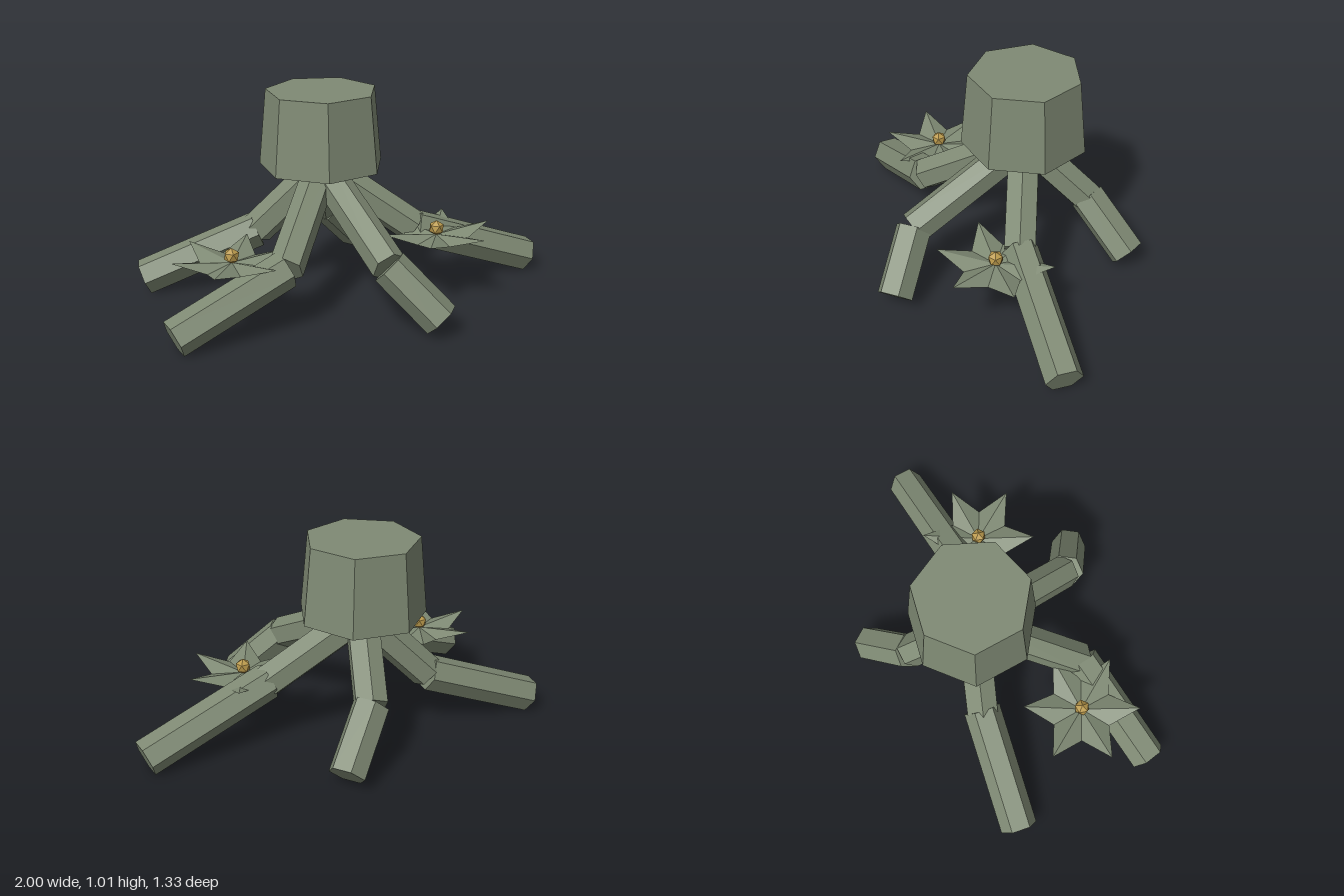
import * as THREE from 'three';

const V = (x, y, z) => new THREE.Vector3(x, y, z);

// Six-sided rod between two points; ridgeUp puts a corner (not a flat) on top
function rod(a, b, radius, ridgeUp, material, name) {
  const dir = b.clone().sub(a);
  const geo = new THREE.CylinderGeometry(radius, radius, dir.length(), 6);
  geo.rotateY(ridgeUp ? 0 : Math.PI / 2);
  const yAxis = dir.normalize();
  const xAxis = V(0, 1, 0).cross(yAxis).normalize();
  const zAxis = xAxis.clone().cross(yAxis);
  const mesh = new THREE.Mesh(geo, material);
  mesh.quaternion.setFromRotationMatrix(new THREE.Matrix4().makeBasis(xAxis, yAxis, zAxis));
  mesh.position.copy(a).add(b).multiplyScalar(0.5);
  mesh.name = name;
  return mesh;
}

// Six folded petals as a shallow star-shaped bowl
function petalGeometry() {
  const rim = (i) => {
    const a = (i * Math.PI) / 6;
    const [r, y] = i % 2 ? [0.155, -0.01] : [0.283, 0.035];
    return [r * Math.cos(a), y, r * Math.sin(a)];
  };
  const points = [];
  for (let i = 0; i < 12; i++) points.push(0, 0, 0, ...rim(i + 1), ...rim(i));
  const geo = new THREE.BufferGeometry();
  geo.setAttribute('position', new THREE.Float32BufferAttribute(points, 3));
  geo.computeVertexNormals();
  return geo;
}

export function createModel() {
  const model = new THREE.Group();
  model.name = 'rootedStump';

  const bark = new THREE.MeshStandardMaterial({ color: 0x7f8a74, flatShading: true, side: THREE.DoubleSide });
  bark.name = 'grey green';
  const gold = new THREE.MeshStandardMaterial({ color: 0xbb9a4c, flatShading: true });
  gold.name = 'gold';

  // Seven-sided trunk
  const trunk = new THREE.Mesh(new THREE.CylinderGeometry(0.274, 0.31, 0.375, 7).rotateY(Math.PI / 2), bark);
  trunk.position.set(-0.094, 0.828, -0.157);
  trunk.name = 'trunk';
  model.add(trunk);

  // Bent roots: hub under the trunk, knee, foot
  const hub = V(-0.094, 0.63, -0.157);
  const roots = [
    ['leftRoot', V(0.33, 0.315, 0), V(0.972, 0.08, 0)],
    ['frontRoot', V(0.02, 0.315, 0.44), V(0.218, 0.083, 0.592)],
    ['frontRightRoot', V(-0.42, 0.3, 0.27), V(-0.967, 0.08, 0.352)],
    ['backRightRoot', V(-0.4, 0.3, -0.28), V(-0.957, 0.08, -0.385)],
    ['backRoot', V(0.03, 0.315, -0.45), V(0.245, 0.083, -0.595)],
  ];
  for (const [name, knee, foot] of roots) {
    const root = new THREE.Group();
    root.name = name;
    root.add(rod(hub, knee, 0.085, true, bark, 'upperRoot'));
    root.add(rod(knee, foot, 0.09, false, bark, 'lowerRoot'));
    model.add(root);
  }

  // Star flowers with a faceted golden centre
  const petals = petalGeometry();
  const bud = new THREE.IcosahedronGeometry(0.039, 0).rotateX(-1.0172);
  for (const [name, x] of [['leftFlower', 0.393], ['rightFlower', -0.64]]) {
    const flower = new THREE.Group();
    flower.name = name;
    const star = new THREE.Mesh(petals, bark);
    star.name = 'petals';
    const centre = new THREE.Mesh(bud, gold);
    centre.position.y = 0.033;
    centre.name = 'flowerCentre';
    flower.add(star, centre);
    flower.position.set(x, 0.315, 0.14);
    model.add(flower);
  }
  return model;
}
